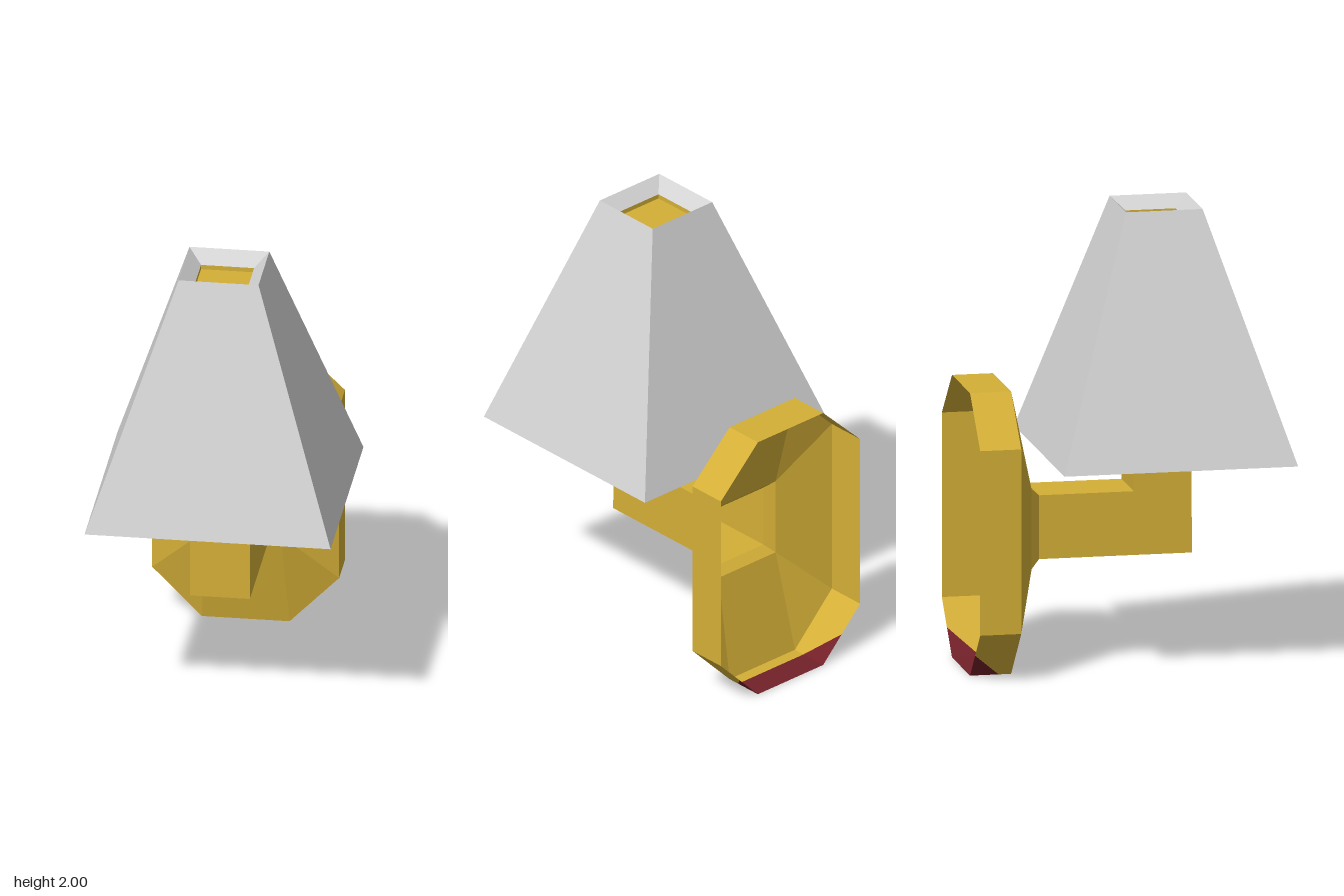
import * as THREE from 'three';

const mat = (name, color) => {
  const m = new THREE.MeshStandardMaterial({ color, side: THREE.DoubleSide });
  m.name = name;
  return m;
};

// Flat-sided mesh from convex polygons given as lists of [x, y, z]
function facets(name, material, polygons) {
  const pos = [];
  const [a, b, c] = [new THREE.Vector3(), new THREE.Vector3(), new THREE.Vector3()];
  for (const p of polygons) {
    for (let i = 1; i < p.length - 1; i++) {
      a.set(...p[0]); b.set(...p[i]); c.set(...p[i + 1]);
      if (new THREE.Triangle(a, b, c).getArea() > 1e-7) pos.push(...p[0], ...p[i], ...p[i + 1]);
    }
  }
  const geo = new THREE.BufferGeometry();
  geo.setAttribute('position', new THREE.Float32BufferAttribute(pos, 3));
  geo.computeVertexNormals();
  const mesh = new THREE.Mesh(geo, material);
  mesh.name = name;
  return mesh;
}

// Quads joining successive closed rings
function loft(rings) {
  const quads = [];
  for (let r = 0; r < rings.length - 1; r++) {
    const a = rings[r], b = rings[r + 1];
    a.forEach((p, i) => {
      const j = (i + 1) % a.length;
      quads.push([p, a[j], b[j], b[i]]);
    });
  }
  return quads;
}

// Horizontal rectangle around the stem axis
const level = (hx, hz, y, z = 0.17) =>
  [[-hx, y, z + hz], [hx, y, z + hz], [hx, y, z - hz], [-hx, y, z - hz]];
// Upright rectangle facing the front; bottom and top edges may differ in depth
const upright = (hx, y0, y1, z0, z1 = z0) =>
  [[-hx, y0, z0], [hx, y0, z0], [hx, y1, z1], [-hx, y1, z1]];
// Chamfered outline of the wall plate
const octagon = (z) => [
  [-0.19, 0], [0.19, 0], [0.405, 0.22], [0.405, 1.03],
  [0.19, 1.24], [-0.19, 1.24], [-0.405, 1.03], [-0.405, 0.22],
].map(([x, y]) => [x, y, z]);

export function createModel() {
  const gold = mat('gold', 0xd4af37);
  const grey = mat('light grey', 0xd3d3d3);
  const maroon = mat('maroon', 0x722028);
  const group = new THREE.Group();
  group.name = 'wallLamp';

  // Wall plate: hollow dish, open at the back
  const zBack = -0.685, zFront = -0.505, zMark = -0.56;
  const rim = loft([octagon(zBack), octagon(zFront)])
    .filter((_, i) => i > 1 && i < 7);
  const rect = upright(0.165, 0.45, 0.8, -0.41);
  const neckRing = [0, 1, 1, 2, 2, 3, 3, 0].map((i) => rect[i]);
  const dish = loft([octagon(zFront), neckRing]);

  // Lower rim, split into gold and maroon areas
  const bottom = (z0, z1) => [[-0.19, 0, z0], [0.19, 0, z0], [0.19, 0, z1], [-0.19, 0, z1]];
  rim.push(bottom(zMark, zFront));
  const marks = [bottom(zBack, zMark)];
  for (const s of [1, -1]) {
    const goldPart = [[0.19 * s, 0, zFront], [0.19 * s, 0, zMark], [0.2975 * s, 0.11, zBack],
      [0.405 * s, 0.22, zBack], [0.405 * s, 0.22, zFront]];
    const mark = [[0.19 * s, 0, zMark], [0.19 * s, 0, zBack], [0.2975 * s, 0.11, zBack]];
    rim.push(s > 0 ? goldPart : goldPart.reverse());
    marks.push(s > 0 ? mark : mark.reverse());
  }
  group.add(facets('wallPlateRim', gold, rim));
  group.add(facets('wallPlateDish', gold, dish));
  group.add(facets('wallPlateMark', maroon, marks));

  // Arm: neck, horizontal tube, mitred elbow, stem and flared collar
  group.add(facets('arm', gold, loft([
    rect,
    upright(0.13, 0.485, 0.765, -0.37),
    upright(0.13, 0.485, 0.765, 0.3, 0.045),
    level(0.13, 0.1275, 1.01),
    level(0.18, 0.175, 1.06),
    level(0.235, 0.23, 1.11),
  ])));

  // Shade: recessed underside, sloping sides and funnel at the top
  const funnelEnd = level(0.115, 0.11, 1.945);
  group.add(facets('shade', grey, loft([
    level(0.235, 0.23, 1.11),
    level(0.533, 0.512, 0.93),
    level(0.173, 0.168, 2),
    funnelEnd,
  ])));

  // Cap sunk into the funnel
  const cap = level(0.115, 0.11, 1.925);
  group.add(facets('cap', gold, [...loft([funnelEnd, cap]), cap]));

  return group;
}
